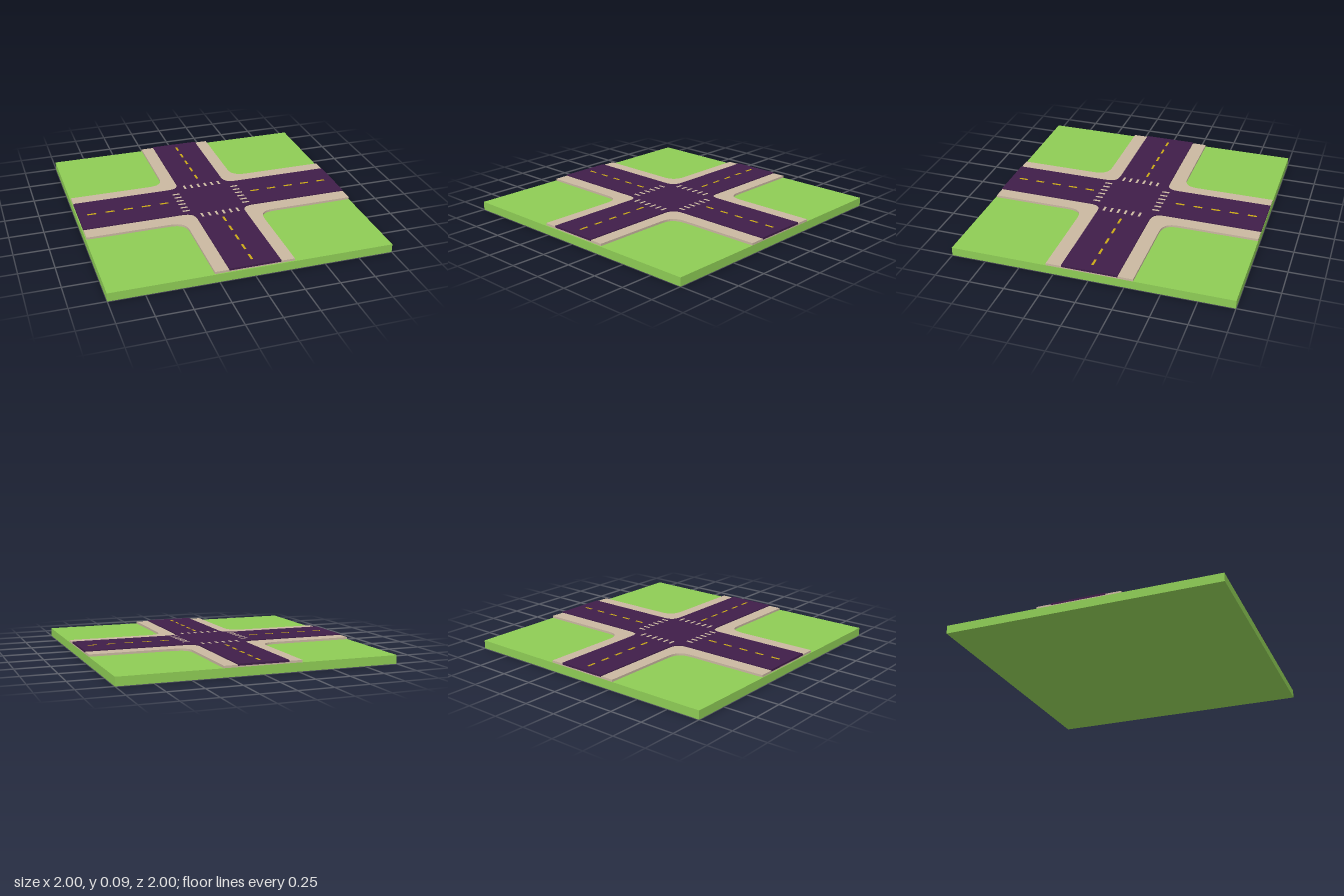
import * as THREE from 'three';

const material = (color) => new THREE.MeshStandardMaterial({ color });

// Cross-shaped slab with rounded inner corners; shape y is used as z
function crossSlab(name, arm, ends, radius, bottom, top, mat) {
  const { x0, x1, z0, z1 } = arm;
  const s = new THREE.Shape();
  s.moveTo(x0, ends.z0);
  s.lineTo(x1, ends.z0);
  s.lineTo(x1, z0 - radius);
  s.bezierCurveTo(x1, z0 - radius * 0.3, x1 + radius * 0.3, z0, x1 + radius, z0);
  s.lineTo(ends.x1, z0);
  s.lineTo(ends.x1, z1);
  s.lineTo(x1 + radius, z1);
  s.bezierCurveTo(x1 + radius * 0.3, z1, x1, z1 + radius * 0.3, x1, z1 + radius);
  s.lineTo(x1, ends.z1);
  s.lineTo(x0, ends.z1);
  s.lineTo(x0, z1 + radius);
  s.bezierCurveTo(x0, z1 + radius * 0.3, x0 - radius * 0.3, z1, x0 - radius, z1);
  s.lineTo(ends.x0, z1);
  s.lineTo(ends.x0, z0);
  s.lineTo(x0 - radius, z0);
  s.bezierCurveTo(x0 - radius * 0.3, z0, x0, z0 - radius * 0.3, x0, z0 - radius);
  s.closePath();
  const geo = new THREE.ExtrudeGeometry(s, { depth: top - bottom, bevelEnabled: false, curveSegments: 8 });
  geo.rotateX(Math.PI / 2).translate(0, top, 0);
  const mesh = new THREE.Mesh(geo, mat);
  mesh.name = name;
  return mesh;
}

function box(name, w, h, d, x, y, z, mat) {
  const mesh = new THREE.Mesh(new THREE.BoxGeometry(w, h, d), mat);
  mesh.position.set(x, y, z);
  mesh.name = name;
  return mesh;
}

export function createModel() {
  const model = new THREE.Group();
  model.name = 'crossroads';
  const grass = material(0x8ecc55);
  const paving = material(0xc9b7a0);
  const asphalt = material(0x3f1d49);
  const yellow = material(0xc9a816);

  // Grass base
  model.add(box('grassBase', 2, 0.061, 2, 0, 0.0305, 0, grass));

  // Pavement under the road, then the road itself
  const ends = { x0: -0.994, x1: 0.999, z0: -0.999, z1: 0.992 };
  model.add(crossSlab('pavement', { x0: -0.28, x1: 0.28, z0: -0.312, z1: 0.302 },
    ends, 0.115, 0.055, 0.077, paving));
  const roadEnds = { x0: -0.995, x1: 0.9995, z0: -0.9995, z1: 0.993 };
  model.add(crossSlab('road', { x0: -0.182, x1: 0.182, z0: -0.204, z1: 0.192 },
    roadEnds, 0.09, 0.07, 0.084, asphalt));

  // Dashed centre lines on all four arms
  const markY = 0.0835, markH = 0.004, dash = 0.066, line = 0.016;
  const lines = new THREE.Group();
  lines.name = 'centreLines';
  for (let i = 0; i < 5; i++) {
    const step = i * 0.1355;
    lines.add(box('dashBack', line, markH, dash, 0, markY, -0.36 - step, yellow));
    lines.add(box('dashFront', line, markH, dash, 0, markY, 0.35 + step, yellow));
    lines.add(box('dashRight', dash, markH, line, -0.354 - step, markY, -0.007, yellow));
    lines.add(box('dashLeft', dash, markH, line, 0.358 + step, markY, -0.007, yellow));
  }
  model.add(lines);

  // Pedestrian crossings around the junction
  const crossings = new THREE.Group();
  crossings.name = 'crossings';
  for (let i = 0; i < 6; i++) {
    const t = (i - 2.5) * 0.054;
    for (const z of [-0.212, 0.244])
      crossings.add(box('crossingStripe', line, markH, 0.054, t, markY, z, paving));
    for (const x of [-0.23, 0.23])
      crossings.add(box('crossingStripe', 0.054, markH, line, x, markY, t + 0.016, paving));
  }
  model.add(crossings);
  return model;
}
